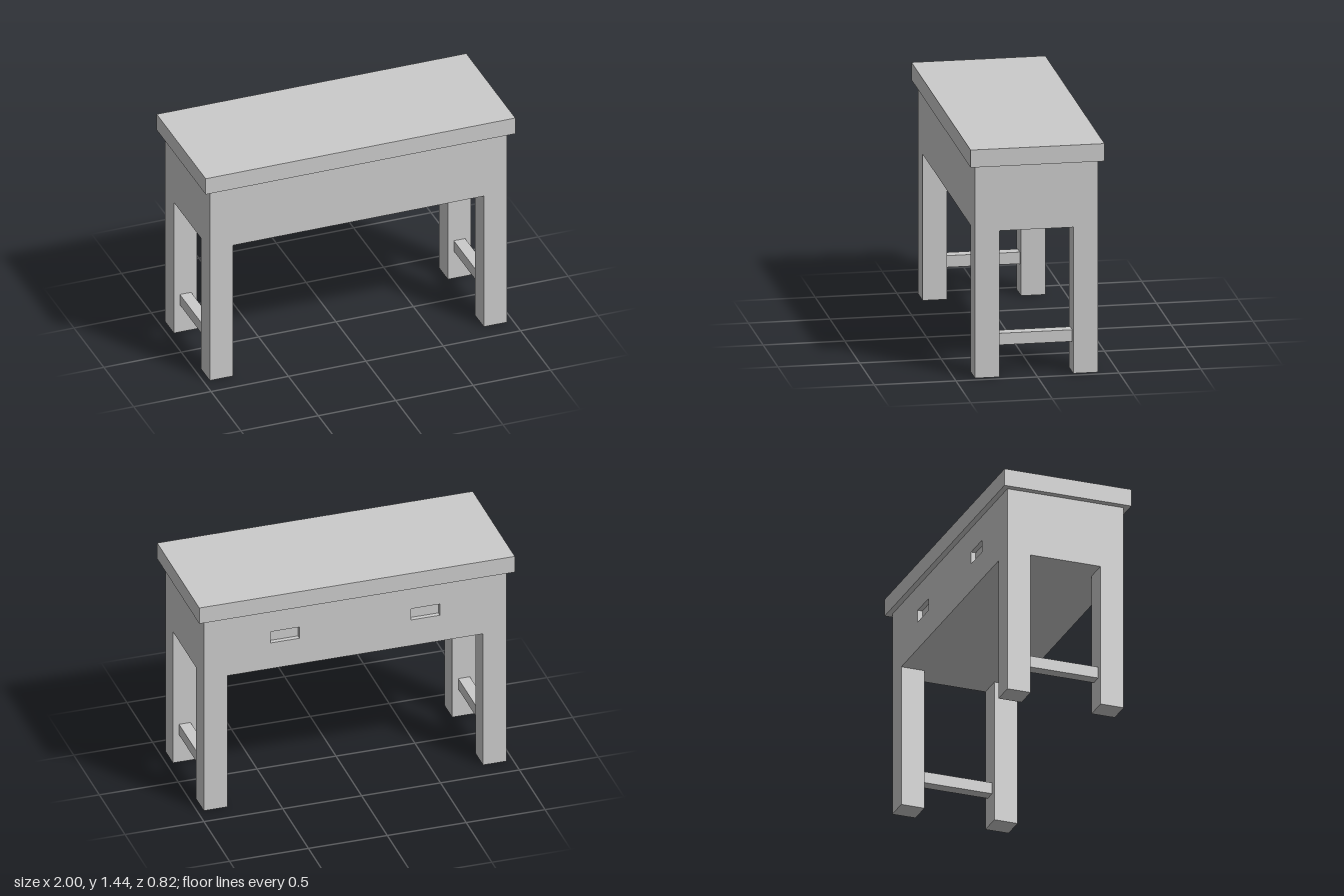
import * as THREE from 'three';

const material = new THREE.MeshStandardMaterial({ color: 0xcccccc, flatShading: true });

// main dimensions
const HALF_W = 0.96, HALF_D = 0.376;
const APRON_BOTTOM = 0.915, APRON_TOP = 1.33, TOP = 1.44;
const LEG = 0.15, RAIL = 0.073, PULL_DEPTH = 0.03;

export function createModel() {
  const group = new THREE.Group();

  const add = (name, geometry, x, y, z) => {
    const mesh = new THREE.Mesh(geometry, material);
    mesh.name = name;
    mesh.position.set(x, y, z);
    group.add(mesh);
  };
  const box = (name, w, h, d, x, y, z) => add(name, new THREE.BoxGeometry(w, h, d), x, y, z);

  // overhanging slab
  box('tableTop', 2, TOP - APRON_TOP, 0.82, 0, (TOP + APRON_TOP) / 2, 0);

  // solid drawer case
  const apronH = APRON_TOP - APRON_BOTTOM;
  box('drawerCase', HALF_W * 2, apronH, HALF_D * 2 - PULL_DEPTH,
    0, APRON_BOTTOM + apronH / 2, PULL_DEPTH / 2);

  // back panel pierced by two recessed finger pulls
  const rect = (path, x0, y0, x1, y1) =>
    path.moveTo(x0, y0).lineTo(x1, y0).lineTo(x1, y1).lineTo(x0, y1).closePath();
  const panel = rect(new THREE.Shape(), -HALF_W, APRON_BOTTOM, HALF_W, APRON_TOP);
  for (const s of [-1, 1]) {
    const cx = s * 0.445;
    panel.holes.push(rect(new THREE.Path(), cx - 0.091, 1.094, cx + 0.091, 1.172));
  }
  add('backPanel',
    new THREE.ExtrudeGeometry(panel, { depth: PULL_DEPTH, bevelEnabled: false }),
    0, 0, -HALF_D);

  // square legs flush with the case corners, and a low rail at each end
  const legX = HALF_W - LEG / 2, legZ = HALF_D - LEG / 2;
  for (const sx of [-1, 1]) {
    const side = sx > 0 ? 'Left' : 'Right';
    for (const sz of [-1, 1]) {
      box((sz > 0 ? 'front' : 'back') + side + 'Leg', LEG, APRON_BOTTOM, LEG,
        sx * legX, APRON_BOTTOM / 2, sz * legZ);
    }
    box('endRail' + side, RAIL, RAIL, 2 * (HALF_D - LEG), sx * legX, 0.226, 0);
  }

  return group;
}
